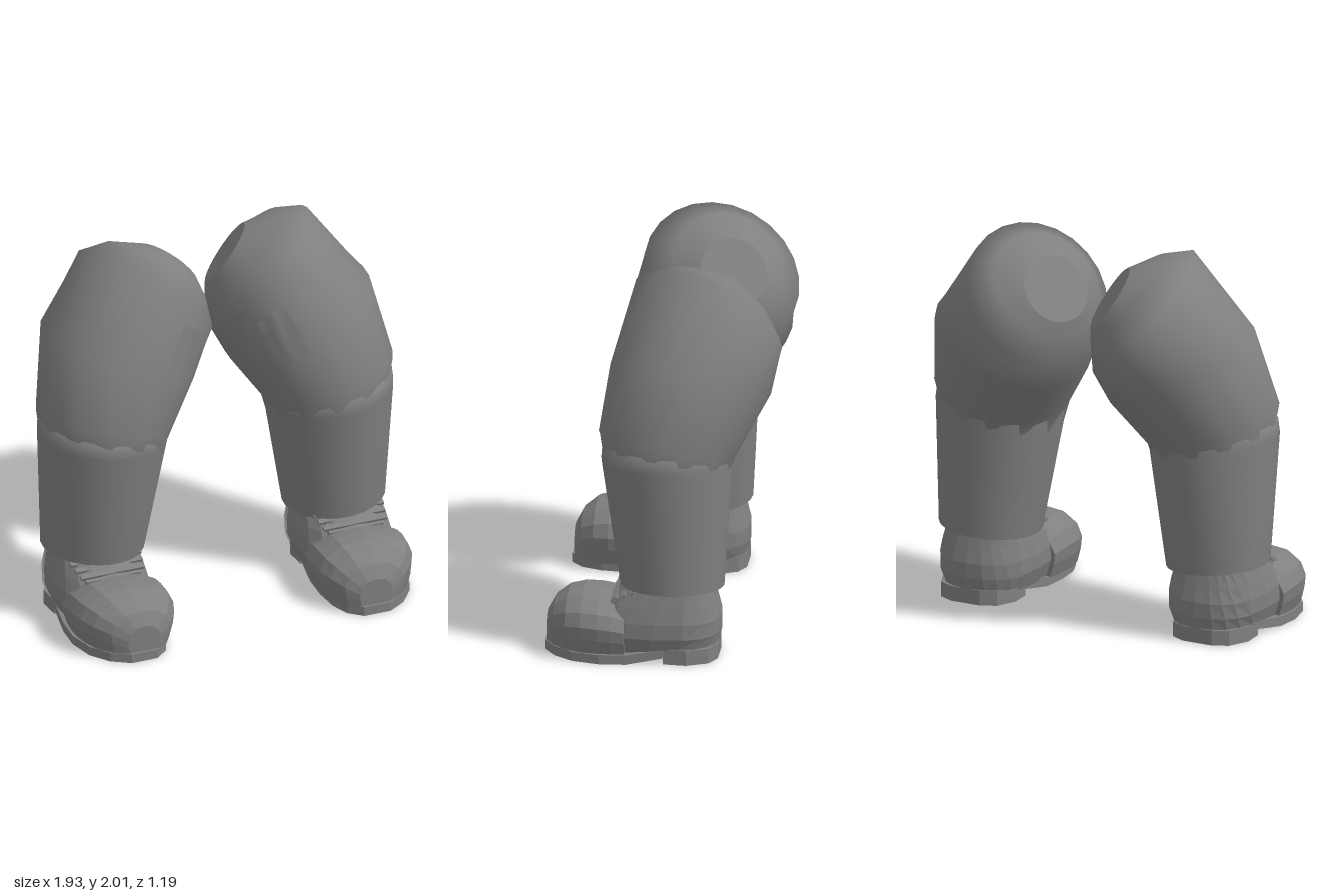
import * as THREE from 'three';

const V = (x, y, z) => new THREE.Vector3(x, y, z);
const smooth = new THREE.MeshStandardMaterial({ color: 0x808080, side: THREE.DoubleSide });
const faceted = new THREE.MeshStandardMaterial({ color: 0x808080, side: THREE.DoubleSide, flatShading: true });

// Skin a list of rings; side = -1 mirrors it across x
function loft(name, rings, side, material, { closed = true, caps = true } = {}) {
  const n = rings[0].length, pos = [], idx = [];
  const add = p => pos.push(p.x * side, p.y, p.z) / 3 - 1;
  const tri = (a, b, c) => (side > 0 ? idx.push(a, b, c) : idx.push(a, c, b));
  rings.forEach(r => r.forEach(add));
  for (let i = 0; i < rings.length - 1; i++) {
    for (let j = 0; j < (closed ? n : n - 1); j++) {
      const a = i * n + j, b = i * n + (j + 1) % n;
      tri(a, b, b + n);
      tri(a, b + n, a + n);
    }
  }
  if (caps) {
    [rings[0], rings[rings.length - 1]].forEach((ring, end) => {
      const mid = ring.reduce((s, p) => s.add(p), V(0, 0, 0)).divideScalar(n);
      const c = add(mid), first = c + 1;
      ring.forEach(add);
      for (let j = 0; j < n; j++) {
        const a = first + j, b = first + (j + 1) % n;
        if (end) tri(c, a, b); else tri(c, b, a);
      }
    });
  }
  const geo = new THREE.BufferGeometry();
  geo.setAttribute('position', new THREE.Float32BufferAttribute(pos, 3));
  geo.setIndex(idx);
  geo.computeVertexNormals();
  const mesh = new THREE.Mesh(geo, material);
  mesh.name = name;
  return mesh;
}

// Circle around a centre, tilted to face a direction; depth stretches it, zigzag varies its radius
function tiltedRing([x, y, z], [nx, ny, nz], r, { depth = 1, zigzag = 0 } = {}) {
  const n = V(nx, ny, nz).normalize();
  const u = V(1, 0, 0).addScaledVector(n, -n.x).normalize();
  const v = n.clone().cross(u).multiplyScalar(depth);
  return Array.from({ length: 24 }, (_, i) => {
    const a = i / 24 * Math.PI * 2, q = r + (i % 2 ? zigzag : -zigzag);
    return V(x, y, z).addScaledVector(u, q * Math.cos(a)).addScaledVector(v, q * Math.sin(a));
  });
}

// Level, slightly squared oval between two z limits; the arc can be partial
function ovalRing(y, back, front, w, from = 0, to = Math.PI * 2, count = 16) {
  const full = to - from > 6.28, pow = t => Math.sign(t) * Math.abs(t) ** 0.8;
  return Array.from({ length: count }, (_, i) => {
    const a = from + (to - from) * i / (full ? count : count - 1);
    return V(0.675 + w * pow(Math.cos(a)), y, (back + front) / 2 - (front - back) / 2 * pow(Math.sin(a)));
  });
}

function trouserLeg(side) {
  const g = new THREE.Group();
  g.name = 'trouserLeg';
  // Thigh bends inward and back, ending in a flat hip disc; its lower edge meets the shin raggedly
  const thigh = loft('thigh', [
    tiltedRing([0.625, 0.97, -0.02], [-0.15, 1, -0.12], 0.312, { zigzag: 0.014 }),
    tiltedRing([0.62, 1.11, -0.02], [-0.24, 1, -0.17], 0.356),
    tiltedRing([0.5, 1.425, -0.13], [-0.47, 1, -0.16], 0.42),
    tiltedRing([0.315, 1.7, -0.2], [-0.68, 0.65, -0.34], 0.395, { depth: 1.06 }),
    tiltedRing([0.242, 1.772, -0.24], [-0.68, 0.65, -0.36], 0.298),
    tiltedRing([0.16, 1.775, -0.28], [-0.72, 0.55, -0.41], 0.182),
  ], side, smooth);
  // Shin tapers to the hem
  const shin = loft('shin', [
    tiltedRing([0.67, 0.41, -0.055], [-0.07, 1, 0], 0.24),
    tiltedRing([0.67, 0.37, -0.055], [-0.07, 1, 0], 0.25),
    tiltedRing([0.671, 0.37, -0.055], [-0.07, 1, 0], 0.269),
    tiltedRing([0.628, 1.03, -0.022], [-0.08, 1, 0], 0.339),
    tiltedRing([0.624, 1.1, -0.022], [-0.1, 1, 0], 0.334),
    tiltedRing([0.61, 1.17, -0.03], [-0.2, 1, -0.1], 0.27),
  ], side, smooth);
  // Cloth patch draped over the front of the thigh
  const ray = new THREE.Raycaster();
  const rows = Array.from({ length: 9 }, (_, i) => Array.from({ length: 7 }, (_, j) => {
    const s = j / 6, t = i / 8;
    const p = V(0.3 + 0.115 * s - 0.15 * t, 1.36 + 0.1 * s + 0.24 * t, 0.2);
    ray.set(V(p.x * side, p.y, 2), V(0, 0, -1));
    const hit = ray.intersectObject(thigh)[0];
    if (hit) p.z = hit.point.z + 0.015;
    return p;
  }));
  g.add(thigh, shin, loft('patch', rows, side, smooth, { closed: false, caps: false }));
  return g;
}

function boot(side) {
  const g = new THREE.Group();
  g.name = 'boot';
  // Sole with a rising arch
  const outline = [[0.925, 0.3], [0.918, 0.16], [0.905, 0.06], [0.89, -0.04], [0.48, -0.04], [0.465, 0.06], [0.455, 0.16],
    [0.45, 0.3], [0.465, 0.44], [0.505, 0.54], [0.575, 0.6], [0.72, 0.6], [0.815, 0.54], [0.89, 0.44]];
  const arch = z => THREE.MathUtils.clamp((0.16 - z) / 0.2, 0, 1);
  g.add(loft('sole', [
    outline.map(([x, z]) => V(x, 0.035 * arch(z), z)),
    outline.map(([x, z]) => V(x, 0.05 + 0.03 * arch(z), z)),
  ], side, faceted));
  // Heel block
  const heel = [[0.89, -0.03], [0.9, -0.15], [0.85, -0.26], [0.77, -0.3], [0.6, -0.3], [0.52, -0.26], [0.47, -0.15], [0.48, -0.03]];
  g.add(loft('heel', [0, 0.08].map(y => heel.map(([x, z]) => V(x, y, z))), side, faceted));
  // Ankle and quarters
  g.add(loft('ankle', [
    ovalRing(0.05, -0.285, 0.36, 0.215),
    ovalRing(0.14, -0.305, 0.36, 0.245),
    ovalRing(0.22, -0.305, 0.33, 0.245),
    ovalRing(0.3, -0.285, 0.27, 0.23),
    ovalRing(0.41, -0.26, 0.15, 0.205),
  ], side, faceted));
  // Heel counter wrapped around the back
  const arc = (y, back, front, w, cut) => ovalRing(y, back, front, w, cut, Math.PI - cut, 9);
  g.add(loft('heelCounter', [
    arc(0.075, -0.3, 0.36, 0.232, 0.3),
    arc(0.14, -0.313, 0.36, 0.255, 0.42),
    arc(0.22, -0.313, 0.33, 0.255, 0.55),
    arc(0.3, -0.293, 0.27, 0.24, 0.68),
    arc(0.4, -0.27, 0.15, 0.215, 0.8),
  ], side, faceted, { closed: false, caps: false }));
  // Rounded toe cap: z, centre x, half width, top
  const half = [[0.88, 0], [0.97, 0.28], [1, 0.52], [0.87, 0.76], [0.52, 0.95]];
  const hoop = [...half, [0, 1], ...half.map(([x, y]) => [-x, y]).reverse()];
  const hoops = [[0.17, 0.675, 0.255, 0.29], [0.24, 0.673, 0.266, 0.318], [0.31, 0.672, 0.267, 0.33],
    [0.4, 0.665, 0.257, 0.332], [0.48, 0.66, 0.225, 0.315], [0.55, 0.65, 0.163, 0.265], [0.588, 0.645, 0.09, 0.195]];
  g.add(loft('toeCap', hoops.map(([z, cx, w, top]) => hoop.map(([x, y]) => V(cx + x * w, 0.045 + y * (top - 0.045), z))),
    side, faceted));
  // Tongue and laces
  const bar = (name, w, h, d, y, z) => {
    const m = new THREE.Mesh(new THREE.BoxGeometry(w, h, d), faceted);
    m.name = name;
    m.position.set(0.675 * side, y, z);
    m.rotation.x = 0.4;
    g.add(m);
  };
  bar('tongue', 0.3, 0.04, 0.2, 0.335, 0.15);
  for (let i = 0; i < 3; i++) bar('lace', 0.35 + 0.02 * i, 0.016, 0.026, 0.333 + 0.018 * i, 0.225 - 0.045 * i);
  return g;
}

export function createModel() {
  const model = new THREE.Group();
  model.name = 'legs';
  for (const side of [1, -1]) {
    const leg = new THREE.Group();
    leg.name = side > 0 ? 'leftLeg' : 'rightLeg';
    leg.add(trouserLeg(side), boot(side));
    model.add(leg);
  }
  return model;
}
